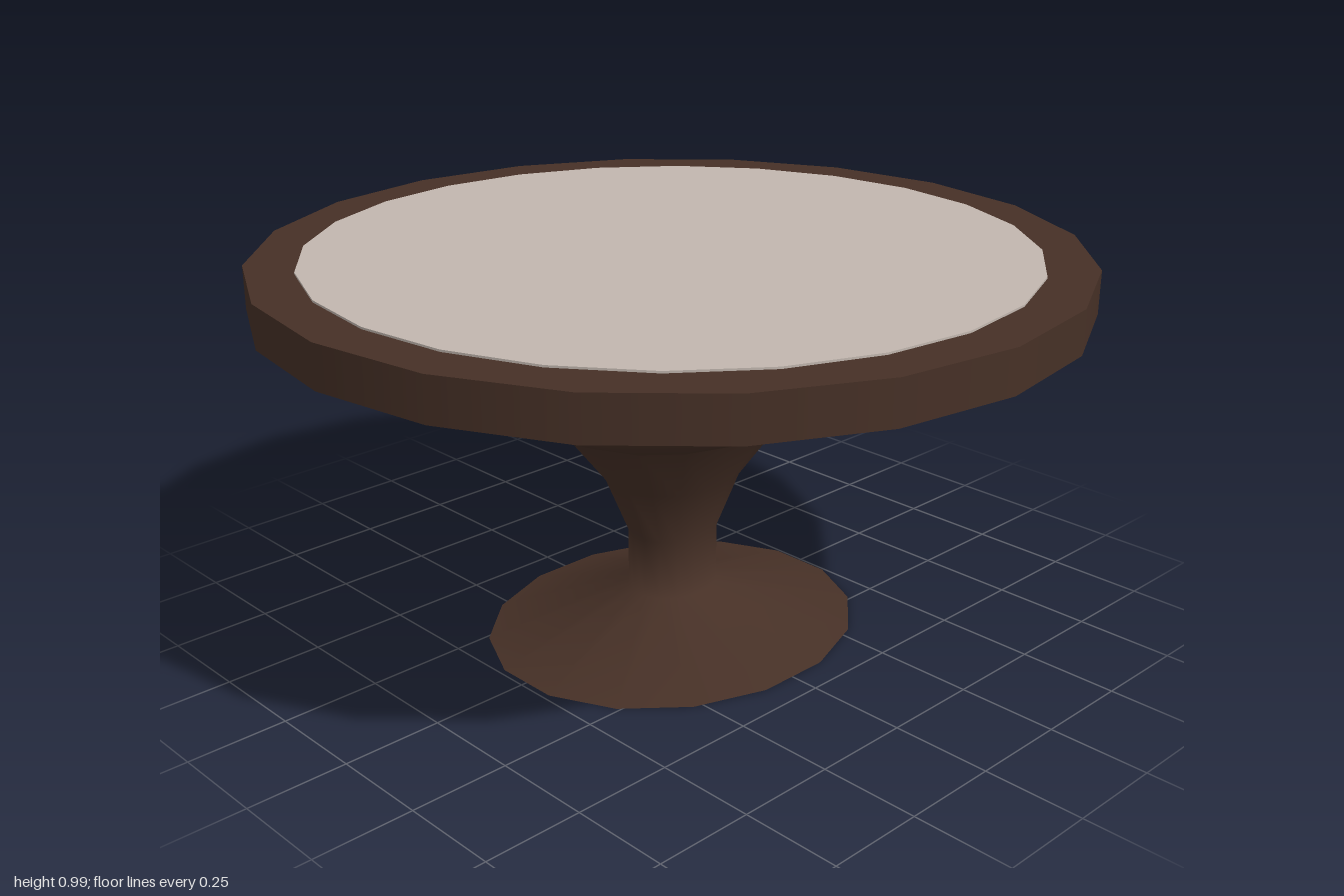
import * as THREE from 'three';

export function createModel() {
  const model = new THREE.Group();
  model.name = 'pedestalTable';
  const darkWood = new THREE.MeshStandardMaterial({ color: 0x463026 });
  darkWood.name = 'dark wood';
  const paleInlay = new THREE.MeshStandardMaterial({ color: 0xc2b7af });
  paleInlay.name = 'pale inlay';

  const add = (parent, name, geometry, material, y = 0) => {
    const mesh = new THREE.Mesh(geometry, material);
    mesh.name = name;
    mesh.position.y = y;
    parent.add(mesh);
  };

  // Round top with a thin pale inlay
  add(model, 'tableTop', new THREE.CylinderGeometry(1, 1, 0.105, 20), darkWood, 0.9325);
  add(model, 'topInlay', new THREE.CylinderGeometry(0.88, 0.88, 0.006, 24), paleInlay, 0.987);

  // Oval pedestal: turned profiles squeezed along z
  const pedestal = new THREE.Group();
  pedestal.name = 'pedestal';
  pedestal.position.x = 0.005;
  pedestal.scale.z = 0.867;
  model.add(pedestal);

  const turned = (name, profile) => {
    const points = profile.map(([r, y]) => new THREE.Vector2(r, y));
    add(pedestal, name, new THREE.LatheGeometry(points, 16, Math.PI / 16), darkWood);
  };
  turned('footAndStem', [[0.499, 0], [0.12, 0.11], [0.12, 0.265], [0.183, 0.415], [0.306, 0.57]]);
  turned('bowl', [[0.306, 0.57], [0.592, 0.7], [0.592, 0.885]]);

  // Flat underside of the foot
  const underside = new THREE.CircleGeometry(0.499, 16, Math.PI / 16);
  underside.rotateX(Math.PI / 2);
  add(pedestal, 'footUnderside', underside, darkWood);

  return model;
}
